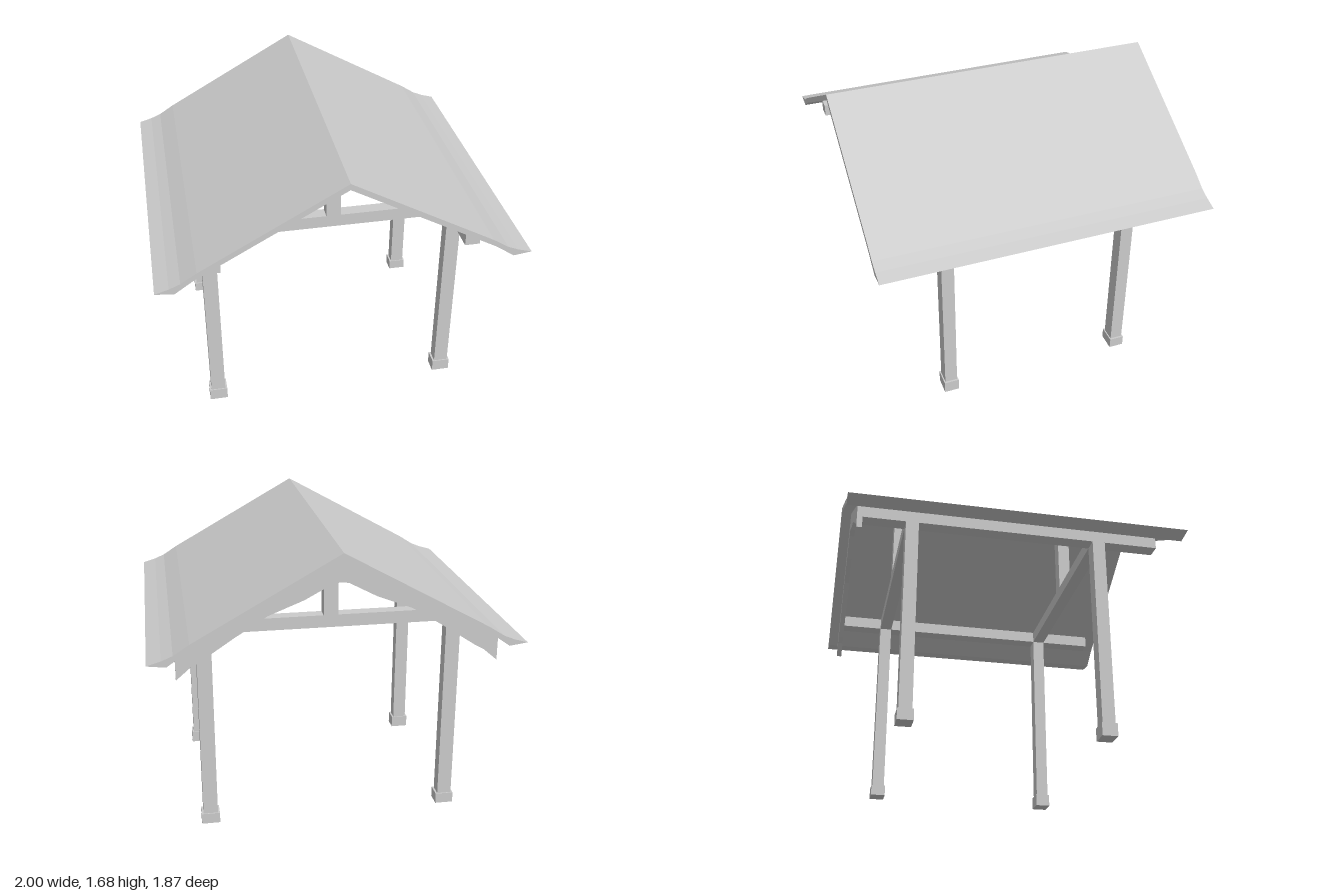
import * as THREE from 'three';

const mat = new THREE.MeshStandardMaterial({ color: 0xcccccc, flatShading: true });

// Extrude a symmetric gable outline (right half, ridge to ridge) between two z values
function gablePart(name, top, under, z0, z1) {
  const mirror = (pts) => pts.filter(([x]) => x > 0).map(([x, y]) => [-x, y]);
  const loop = [...top, ...under, ...mirror(under).reverse(), ...mirror(top).reverse()];
  const shape = new THREE.Shape(loop.map(([x, y]) => new THREE.Vector2(x, y)));
  const geo = new THREE.ExtrudeGeometry(shape, { depth: z1 - z0, bevelEnabled: false });
  geo.translate(0, 0, z0);
  const mesh = new THREE.Mesh(geo, mat);
  mesh.name = name;
  return mesh;
}

// Box given by its limits on each axis
function box(name, [x0, x1], [y0, y1], [z0, z1]) {
  const mesh = new THREE.Mesh(new THREE.BoxGeometry(x1 - x0, y1 - y0, z1 - z0), mat);
  mesh.position.set((x0 + x1) / 2, (y0 + y1) / 2, (z0 + z1) / 2);
  mesh.name = name;
  return mesh;
}

const around = (c, half) => [c - half, c + half];

export function createModel() {
  const model = new THREE.Group();
  model.name = 'gablePavilion';
  const postX = 0.695;
  const beamY = [1.17, 1.24];
  const frames = [{ z: 0.505, foot: 0 }, { z: -0.565, foot: 0.01 }];

  // Roof slab with flared eaves
  model.add(gablePart('roof',
    [[0, 1.68], [0.78, 1.245], [0.865, 1.19], [0.925, 1.165], [1, 1.143]],
    [[0.9, 1.13], [0.8, 1.2], [0, 1.645]],
    -0.935, 0.935));

  // Scalloped trim board under the back gable
  model.add(gablePart('gableBoard',
    [[0, 1.645], [0.8, 1.2], [0.855, 1.161]],
    [[0.855, 1.03], [0.78, 1.095], [0.735, 1.12], [0.555, 1.24], [0.38, 1.35],
      [0.19, 1.425], [0.04, 1.505], [0, 1.51]],
    -0.875, -0.845));

  for (const { z, foot } of frames) {
    // Posts and their footings
    for (const side of [-1, 1]) {
      model.add(box('post', around(side * postX, 0.041), [0.05, beamY[0]], around(z, 0.036)));
      model.add(box('footing', around(side * postX, 0.052), [foot, 0.072], around(z, 0.043)));
    }
    // Tie beam and king post
    model.add(box('tieBeam', around(0, postX - 0.041), beamY, around(z, 0.036)));
    model.add(gablePart('kingPost', [[0, 1.645], [0.04, 1.623]], [[0.04, 1.24]],
      z - 0.036, z + 0.036));
  }

  // Side beams carrying the roof
  for (const side of [-1, 1]) {
    model.add(box('sideBeam', around(side * postX, 0.041), beamY, [-0.845, 0.85]));
  }
  return model;
}
